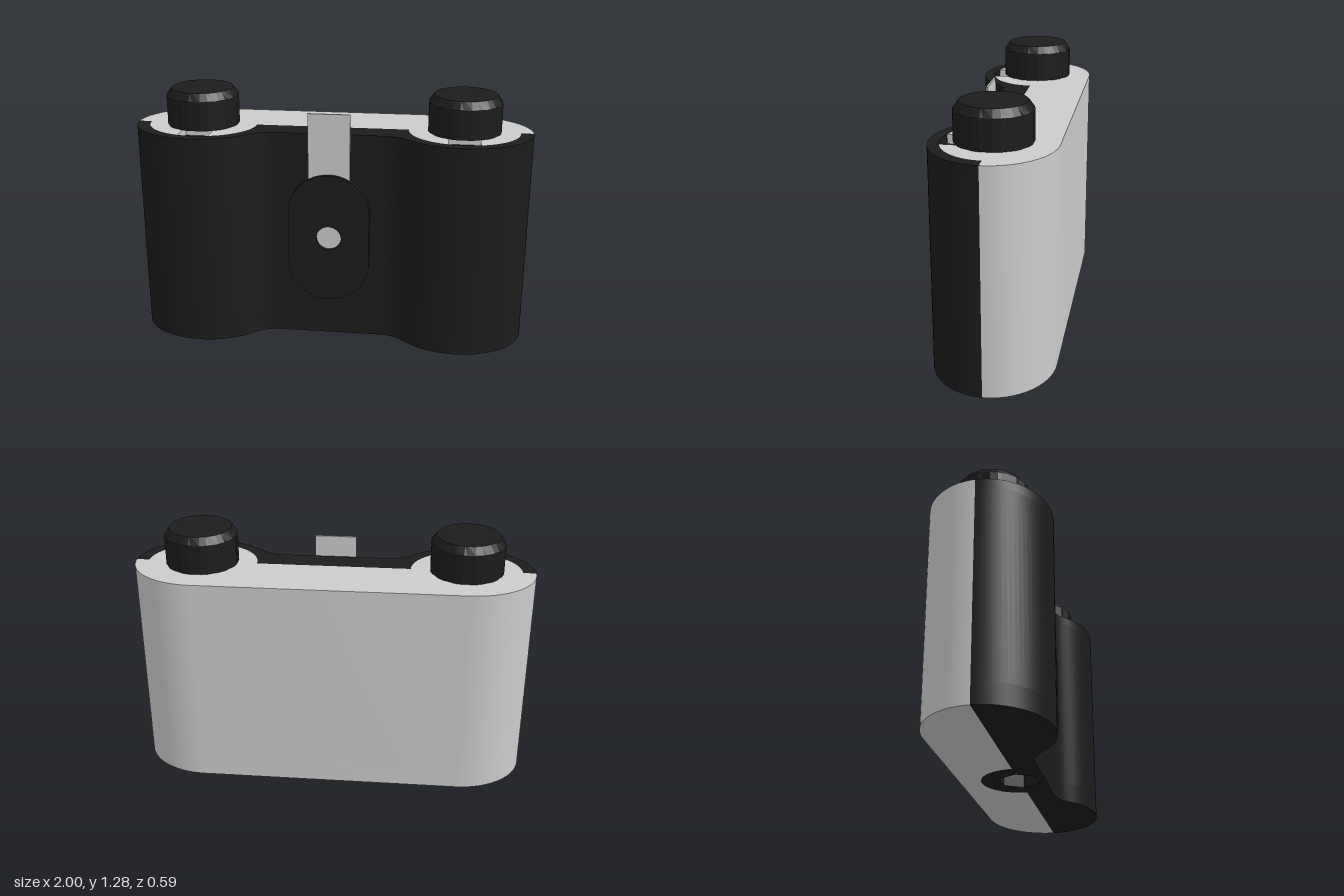
import * as THREE from 'three';
import { toCreasedNormals } from 'three/addons/utils/BufferGeometryUtils.js';

const grey = new THREE.MeshStandardMaterial({ color: 0xcccccc });
const black = new THREE.MeshStandardMaterial({ color: 0x1c1c1c });

const TOP = 1.09, RIM = 1.045, SOCKET = 0.1, LOBE = 0.66;

// Points [x, z] along an elliptic arc centred on z = 0
function arc(cx, rx, rz, a0, a1, n = 24) {
  return Array.from({ length: n + 1 }, (_, i) => {
    const a = a0 + (a1 - a0) * i / n;
    return [cx + rx * Math.cos(a), rz * Math.sin(a)];
  });
}

// Upright prism over a plan of [x, z] points
function prism(points, y0, y1, steps = 1) {
  const shape = new THREE.Shape(points.map(([x, z]) => new THREE.Vector2(x, -z)));
  const g = new THREE.ExtrudeGeometry(shape, { depth: y1 - y0, bevelEnabled: false, steps });
  return g.rotateX(-Math.PI / 2).translate(0, y0, 0);
}

function add(parent, name, geometry, material) {
  const mesh = new THREE.Mesh(geometry, material);
  mesh.name = name;
  parent.add(mesh);
  return mesh;
}

const smooth = (g) => toCreasedNormals(g, 0.5);

// Front plan: two rounded lobes joined by a flat waist
function frontPlan() {
  const bend = new THREE.QuadraticBezierCurve(
    new THREE.Vector2(-0.4, 0.19), new THREE.Vector2(-0.338, 0.128), new THREE.Vector2(-0.26, 0.128));
  const half = [
    ...arc(-LOBE, 0.34, 0.293, Math.PI, 0.71, 32),
    ...bend.getPoints(10).slice(1).map((p) => [p.x, p.y]),
  ];
  return [...half, ...half.map(([x, z]) => [-x, z]).reverse()];
}

// Back plan: flat wall with rounded ends
function backPlan() {
  return [
    ...arc(-LOBE, 0.34, 0.295, Math.PI, Math.PI * 1.5),
    ...arc(LOBE, 0.34, 0.295, Math.PI * 1.5, Math.PI * 2),
  ];
}

// Ribbed winding knob with a chamfered top
function knobGeometry() {
  const n = 12, points = [];
  for (let i = 0; i < n; i++) {
    const a = i * 2 * Math.PI / n;
    const rim = [[0.15, -0.06], [0.178, -0.06], [0.182, 0.16], [0.182, 0.364], [0.178, 0.584 - 0.12 + 0.0], [0.15, 0.464]];
    // each rib is followed by a narrow groove
    for (const [r, d] of rim) points.push([r * Math.cos(a + d), r * Math.sin(a + d)]);
  }
  points.forEach((p) => p.reverse());
  const g = prism(points, 1.096, 1.28, 5);
  const pos = g.attributes.position;
  for (let i = 0; i < pos.count; i++) {
    const x = pos.getX(i), z = pos.getZ(i), r = Math.hypot(x, z);
    if (pos.getY(i) > 1.275 && r > 0.155) pos.setXYZ(i, x * 0.155 / r, 1.28, z * 0.155 / r);
  }
  g.computeVertexNormals();
  return g;
}

export function createModel() {
  const model = new THREE.Group();
  model.name = 'pinholeCamera';
  const front = frontPlan(), back = backPlan();
  const hexR = 0.105;

  // Black front shell: hexagonal recess below, cut-outs for the grey lobes above
  const shell = new THREE.Group();
  shell.name = 'frontShell';
  model.add(shell);
  const lobeCut = (cx) => arc(cx, 0.275, 0.24, 0, Math.PI, 32);
  add(shell, 'frontBase', smooth(prism([...front, ...arc(0, hexR, hexR, 0, Math.PI, 3)], 0, SOCKET)), black);
  add(shell, 'frontWall', smooth(prism(front, SOCKET, RIM)), black);
  add(shell, 'frontRim', smooth(prism([...front, ...lobeCut(LOBE), ...lobeCut(-LOBE)], RIM, TOP)), black);

  // Grey back shell, cut round the tripod socket
  const cover = new THREE.Group();
  cover.name = 'backShell';
  model.add(cover);
  add(cover, 'backBase', smooth(prism([...back, ...arc(0, 0.19, 0.19, 0, -Math.PI, 32)], 0, SOCKET)), grey);
  add(cover, 'backWall', smooth(prism(back, SOCKET, TOP)), grey);

  // Tripod socket: half disc behind the seam, hexagonal recess with a floor
  add(model, 'tripodSocket', smooth(prism([
    ...arc(0, 0.19, 0.19, -Math.PI, 0, 32), ...arc(0, hexR, hexR, 0, -Math.PI, 3),
  ], 0, SOCKET)), black);
  add(model, 'socketFloor', prism(arc(0, hexR, hexR, 0, Math.PI * 5 / 3, 5), 0.085, SOCKET), black);

  // Slotted lobe caps, shafts and knobs, one pair per film spool
  const slotAngle = Math.acos(0.077 / 0.275);
  const cap = [
    ...arc(0, 0.275, 0.24, 0, slotAngle, 20), [0.077, 0.08], [-0.077, 0.08],
    ...arc(0, 0.275, 0.24, Math.PI - slotAngle, Math.PI, 20),
  ];
  for (const [side, sx] of [['left', 1], ['right', -1]]) {
    const spool = new THREE.Group();
    spool.name = side + 'Spool';
    spool.position.x = sx * LOBE;
    model.add(spool);
    add(spool, 'lobeCap', smooth(prism(cap, RIM, TOP)), grey);
    add(spool, 'shaft', new THREE.CylinderGeometry(0.075, 0.075, 0.06, 32).translate(0, 1.075, 0), black);
    add(spool, 'knob', knobGeometry(), black);
  }

  // Rounded shutter plate with the pinhole opening
  const r = 0.206, low = 0.21 + r, high = 0.885 - r;
  const plate = new THREE.Shape();
  plate.absarc(0, high, r, 0, Math.PI);
  plate.absarc(0, low, r, Math.PI, Math.PI * 2);
  plate.closePath();
  plate.holes.push(new THREE.Path().absarc(0, 0.55, 0.063, 0, Math.PI * 2, true));
  const plateGeo = new THREE.ExtrudeGeometry(plate, { depth: 0.04, bevelEnabled: false, curveSegments: 32 });
  add(model, 'shutterPlate', smooth(plateGeo.translate(0, 0, 0.126)), black);

  // Sliding shutter strip running behind the opening
  const strip = add(model, 'shutterStrip', new THREE.BoxGeometry(0.21, 0.79, 0.01), grey);
  strip.position.set(0, 0.8, 0.141);

  return model;
}
